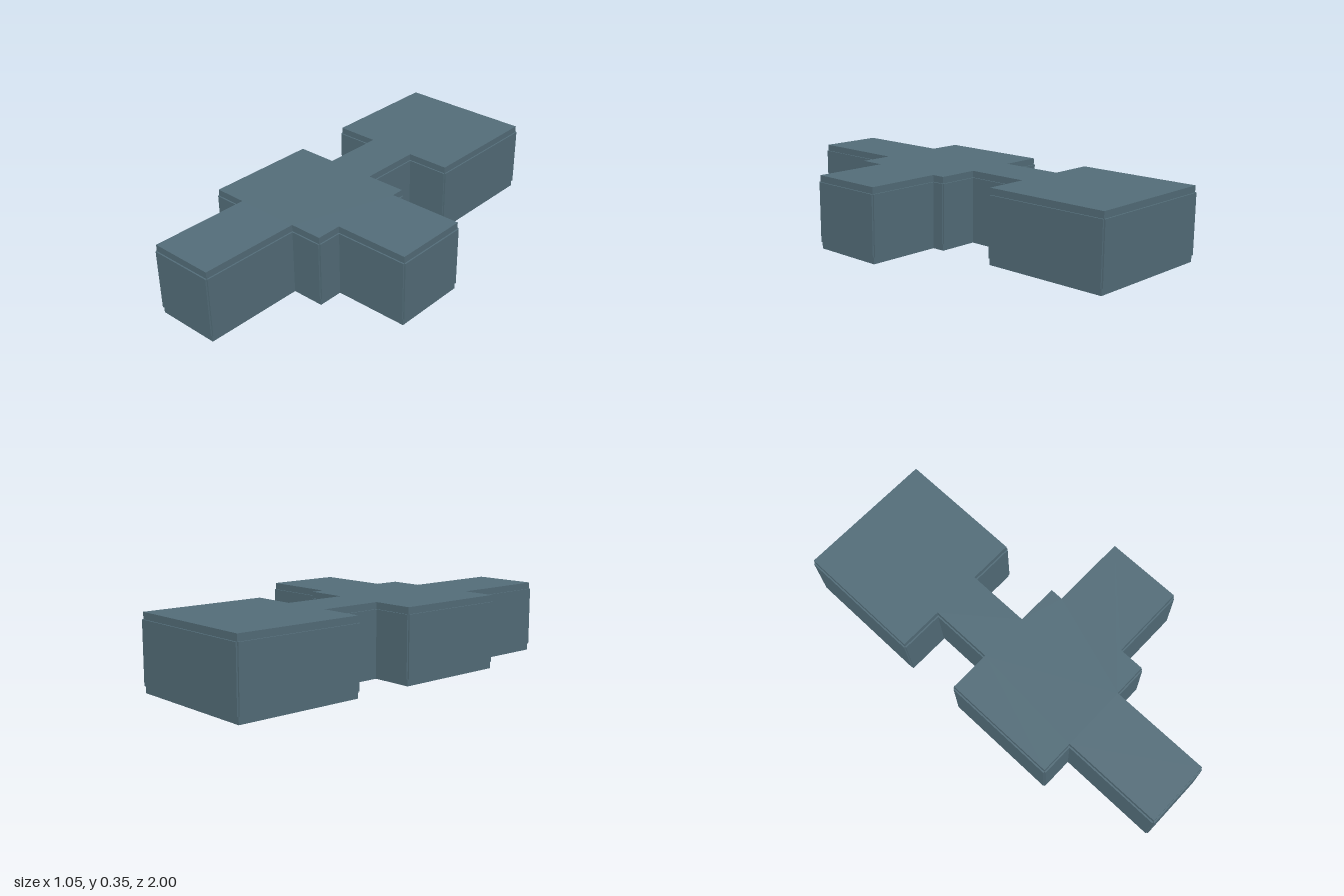
import * as THREE from 'three';

const HEIGHT = 0.355;
const PANEL_THICKNESS = 0.007;
const PANEL_BOTTOM = 0.033;
const PANEL_TOP = 0.323;

// Floor plan outline as [x, z], walked once around
const PLAN = [
  [-0.518, -0.993], [0.16, -0.993], [0.16, -0.376], [-0.057, -0.376],
  [-0.057, -0.066], [0.145, -0.066], [0.145, -0.002], [0.518, -0.002],
  [0.518, 0.37], [0.145, 0.37], [0.145, 0.496], [-0.019, 0.496],
  [-0.019, 0.993], [-0.341, 0.993], [-0.341, 0.496], [-0.504, 0.496],
  [-0.504, -0.066], [-0.302, -0.066], [-0.302, -0.376], [-0.518, -0.376],
];

export function createModel() {
  const model = new THREE.Group();
  model.name = 'floorPlanBlock';
  const slate = new THREE.MeshStandardMaterial({ color: 0x546e7a });
  slate.name = 'slate blue grey';

  // Solid body: rooms and corridor in one extrusion
  const shape = new THREE.Shape(PLAN.map(([x, z]) => new THREE.Vector2(x, -z)));
  const bodyGeometry = new THREE.ExtrudeGeometry(shape, { depth: HEIGHT, bevelEnabled: false });
  bodyGeometry.rotateX(-Math.PI / 2);
  const body = new THREE.Mesh(bodyGeometry, slate);
  body.name = 'body';
  model.add(body);

  // One thin raised panel on every wall, leaving bands at floor and roof
  const panels = new THREE.Group();
  panels.name = 'wallPanels';
  PLAN.forEach(([x0, z0], i) => {
    const [x1, z1] = PLAN[(i + 1) % PLAN.length];
    const dx = x1 - x0;
    const dz = z1 - z0;
    const length = Math.hypot(dx, dz);
    const panel = new THREE.Mesh(
      new THREE.BoxGeometry(length, PANEL_TOP - PANEL_BOTTOM, PANEL_THICKNESS), slate);
    panel.name = 'wallPanel' + (i + 1);
    // Outward direction of this wall
    const nx = dz / length;
    const nz = -dx / length;
    panel.position.set(
      (x0 + x1) / 2 + nx * PANEL_THICKNESS / 2,
      (PANEL_BOTTOM + PANEL_TOP) / 2,
      (z0 + z1) / 2 + nz * PANEL_THICKNESS / 2);
    panel.rotation.y = Math.atan2(nx, nz);
    panels.add(panel);
  });
  model.add(panels);

  return model;
}
